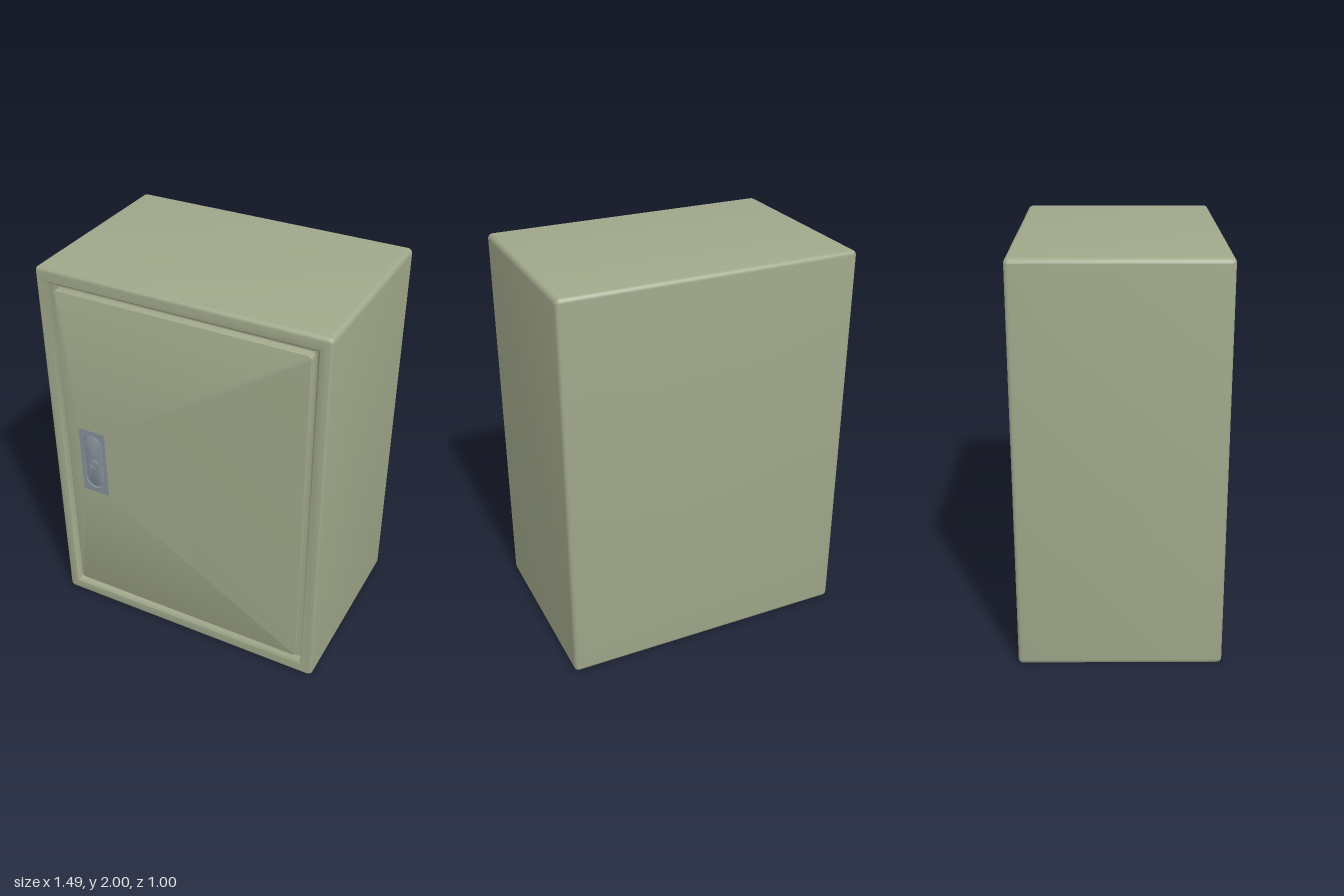
import * as THREE from 'three';
import { toCreasedNormals } from 'three/addons/utils/BufferGeometryUtils.js';

const CORNER_STEPS = 6;

// Rounded rectangle outline: centre, half sizes, corner radius and depth
function outline({ x = 0, y = 1, w, h, r, z }) {
  const points = [];
  [[1, 1], [-1, 1], [-1, -1], [1, -1]].forEach(([sx, sy], q) => {
    for (let i = 0; i <= CORNER_STEPS; i++) {
      const a = (q + i / CORNER_STEPS) * Math.PI / 2;
      points.push(new THREE.Vector3(
        x + sx * (w - r) + r * Math.cos(a), y + sy * (h - r) + r * Math.sin(a), z));
    }
  });
  return points;
}

// Skin a sequence of outlines, running from the back towards the front
function loft(rings) {
  const loops = rings.map(outline);
  const out = [];
  const tri = (a, b, c) => {
    if (new THREE.Triangle(a, b, c).getArea() > 1e-9) {
      for (const p of [a, b, c]) out.push(p.x, p.y, p.z);
    }
  };
  for (let k = 0; k < loops.length - 1; k++) {
    const lo = loops[k], hi = loops[k + 1], n = lo.length;
    for (let i = 0; i < n; i++) {
      const j = (i + 1) % n;
      tri(lo[i], lo[j], hi[j]);
      tri(lo[i], hi[j], hi[i]);
    }
  }
  const geometry = new THREE.BufferGeometry();
  geometry.setAttribute('position', new THREE.Float32BufferAttribute(out, 3));
  return toCreasedNormals(geometry, Math.PI / 6);
}

// Quarter-round edge: side = 1 rounds towards the front, -1 towards the back
function roundedEdge(base, radius, z, side) {
  const rings = [];
  for (let i = 0; i <= 5; i++) {
    const a = (i / 5) * Math.PI / 2;
    const inset = radius * (1 - Math.cos(a));
    rings.push({
      ...base, w: base.w - inset, h: base.h - inset,
      r: Math.max(base.r - inset, 0.001), z: z - side * radius * (1 - Math.sin(a)),
    });
  }
  return side > 0 ? rings : rings.reverse();
}

export function createModel() {
  const model = new THREE.Group();
  const green = new THREE.MeshStandardMaterial({ color: 0xa0a78a });
  const steel = new THREE.MeshStandardMaterial({ color: 0x848e98 });
  const add = (parent, name, geometry, material) => {
    const mesh = new THREE.Mesh(geometry, material);
    mesh.name = name;
    parent.add(mesh);
    return mesh;
  };
  const FRONT = 0.493;

  // Cabinet shell with a shallow door recess in the front
  const shell = { w: 0.745, h: 1, r: 0.025 };
  add(model, 'cabinet', loft([
    { w: 0, h: 0, r: 0, z: -0.5 },
    ...roundedEdge(shell, 0.022, -0.5, -1),
    ...roundedEdge(shell, 0.022, FRONT, 1),
    { w: 0.688, h: 0.936, r: 0.002, z: FRONT },
    { w: 0.678, h: 0.926, r: 0.002, z: FRONT - 0.008 },
    { w: 0.678, h: 0.926, r: 0.002, z: 0.45 },
    { w: 0, h: 0, r: 0, z: 0.45 },
  ]), green);

  // Door with softened edges and a cut-out for the handle
  const handleAt = { x: -0.505, y: 0.955 };
  const cutout = { ...handleAt, w: 0.073, h: 0.188, r: 0.001 };
  add(model, 'door', loft([
    { y: 1.003, w: 0.655, h: 0.895, r: 0.022, z: 0.45 },
    ...roundedEdge({ y: 1.003, w: 0.655, h: 0.895, r: 0.022 }, 0.006, FRONT - 0.001, 1),
    { ...cutout, z: FRONT - 0.001 },
    { ...cutout, z: 0.465 },
  ]), green);

  // Flush handle: plate with a slot, paddle and lock barrel
  const handle = new THREE.Group();
  handle.name = 'handle';
  model.add(handle);
  const slot = { ...handleAt, w: 0.056, h: 0.162, r: 0.056 };
  add(handle, 'handlePlate', loft([
    { ...handleAt, w: 0.075, h: 0.19, r: 0.001, z: 0.47 },
    { ...handleAt, w: 0.075, h: 0.19, r: 0.001, z: FRONT + 0.001 },
    { ...slot, z: FRONT + 0.001 },
    { ...slot, z: 0.474 },
    { ...handleAt, w: 0, h: 0, r: 0, z: 0.474 },
  ]), steel);
  add(handle, 'handlePaddle', loft([
    { ...handleAt, w: 0.05, h: 0.156, r: 0.05, z: 0.474 },
    ...roundedEdge({ ...handleAt, w: 0.05, h: 0.156, r: 0.05 }, 0.004, 0.492, 1),
    { ...handleAt, w: 0, h: 0, r: 0, z: 0.492 },
  ]), steel);

  const lock = add(handle, 'lockBarrel', new THREE.CylinderGeometry(0.024, 0.024, 0.02, 32), steel);
  lock.rotation.x = Math.PI / 2;
  lock.position.set(handleAt.x, 0.943, 0.488);
  const rim = add(handle, 'lockRim', new THREE.TorusGeometry(0.024, 0.003, 8, 32), steel);
  rim.position.set(handleAt.x, 0.943, 0.497);

  return model;
}
